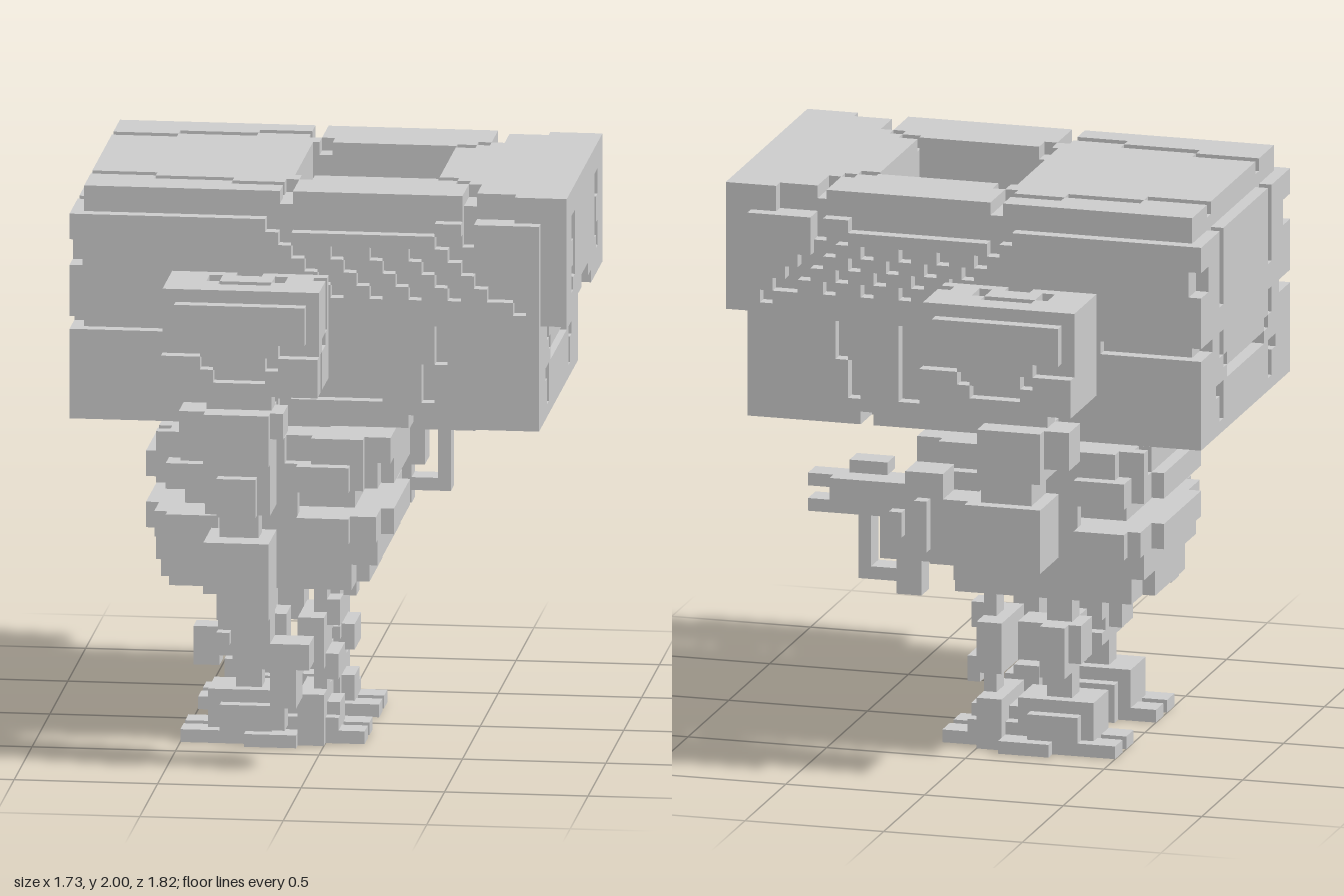
import * as THREE from 'three';

const U = 1 / 22; // size of one block

// Boolean of axis-aligned blocks: each op is [x0,x1,y0,y1,z0,z1] in block units.
// Only the exposed faces of the result are emitted.
function blocks(name, add, cut = []) {
  const all = [...add, ...cut];
  const axes = [0, 1, 2].map(a =>
    [...new Set(all.flatMap(b => [b[2 * a], b[2 * a + 1]]))].sort((p, q) => p - q));
  const n = axes.map(c => c.length - 1);
  const solid = new Uint8Array(n[0] * n[1] * n[2]);
  const id = c => (c[0] * n[1] + c[1]) * n[2] + c[2];
  const paint = (b, v) => {
    const r = [0, 1, 2].map(a => [axes[a].indexOf(b[2 * a]), axes[a].indexOf(b[2 * a + 1])]);
    for (let i = r[0][0]; i < r[0][1]; i++)
      for (let j = r[1][0]; j < r[1][1]; j++)
        for (let k = r[2][0]; k < r[2][1]; k++) solid[id([i, j, k])] = v;
  };
  add.forEach(b => paint(b, 1));
  cut.forEach(b => paint(b, 0));

  const pos = [], nor = [], idx = [];
  const filled = c => c.every((v, a) => v >= 0 && v < n[a]) && solid[id(c)];
  for (let i = 0; i < n[0]; i++) for (let j = 0; j < n[1]; j++) for (let k = 0; k < n[2]; k++) {
    const c = [i, j, k];
    if (!filled(c)) continue;
    for (let a = 0; a < 3; a++) for (const s of [-1, 1]) {
      const next = c.slice();
      next[a] += s;
      if (filled(next)) continue;
      const b = (a + 1) % 3, d = (a + 2) % 3, base = pos.length / 3;
      for (const [p, q] of [[0, 0], [1, 0], [1, 1], [0, 1]]) {
        const v = [], m = [0, 0, 0];
        v[a] = axes[a][c[a] + (s > 0 ? 1 : 0)] * U;
        v[b] = axes[b][c[b] + p] * U;
        v[d] = axes[d][c[d] + q] * U;
        m[a] = s;
        pos.push(...v);
        nor.push(...m);
      }
      const o = s > 0 ? [0, 1, 2, 0, 2, 3] : [0, 2, 1, 0, 3, 2];
      idx.push(...o.map(t => base + t));
    }
  }
  const g = new THREE.BufferGeometry();
  g.setAttribute('position', new THREE.Float32BufferAttribute(pos, 3));
  g.setAttribute('normal', new THREE.Float32BufferAttribute(nor, 3));
  g.setIndex(idx);
  const mesh = new THREE.Mesh(g, new THREE.MeshStandardMaterial({ color: 0xcccccc, flatShading: true }));
  mesh.name = name;
  return mesh;
}

// mirror blocks to the other z side, or keep both sides
const flip = list => list.map(b => [b[0], b[1], b[2], b[3], -b[5], -b[4]]);
const both = list => [...list, ...flip(list)];

function head() {
  const add = [[-19, 17, 26, 42, -12, 12], [-18, 19, 34, 44, -11, 11]];
  const cut = [[-2.5, 8.5, 32, 44, -5.5, 5.5]]; // cockpit well
  // seams in the roof
  const roof = [[-18, -13, 6, 7], [-13, -7, 7, 8], [-7, -2, 8, 9], [-3, -2, 7, 8], [-2, -1, 5.5, 7],
    [-3, -2, 9, 11], [8.5, 10, 5, 6], [10, 11, 6, 7], [11, 12, 7, 11]];
  roof.forEach(([x0, x1, z0, z1]) => cut.push(...both([[x0, x1, 43, 44, z0, z1]])));
  // stepped roof edge towards the front, and the rear seam running over the edge
  cut.push(...both([[12, 15, 42, 44, 10, 11], [11, 12, 40, 44, 10, 12], [-19, -18, 41, 42, 6, 7]]));
  // seams and recesses in the side plates
  const side = [[9, 10, 31, 34], [8, 9, 28, 31], [-19, -11, 33, 34], [-2, 5, 28, 34], [-3, -2, 26, 28],
    [-3, 9, 41, 42], [9, 11, 40, 41]];
  for (let i = 0; i < 6; i++) side.push([-4 + i, -3 + i, 41 - i, 42 - i]);
  for (let i = 0; i < 5; i++) side.push([11 + i, 12 + i, 39 - i, 40 - i]);
  // diagonal vent holes
  for (let d = 0; d < 4; d++)
    for (let i = 0; i < 4; i++) side.push([1 + 3 * d + i, 2 + 3 * d + i, 39 - i, 40 - i]);
  side.forEach(([x0, x1, y0, y1]) => cut.push(...both([[x0, x1, y0, y1, 11, 12]])));
  // eye slots and mouth on the face
  cut.push(...both([[18, 19, 40, 42, 6, 8], [18, 19, 37, 40, 6, 7], [18, 19, 36, 38, 7, 8]]));
  cut.push([18, 19, 35, 36, -2, 2], [18, 19, 34, 35, -4, 4]);
  // jaw seams, front and rear
  const jaw = [[32, 34, 6, 7], [31, 32, 5, 6], [30, 31, 4, 5], [29, 30, 6, 8], [27, 29, 6, 7]];
  for (const [x0, x1] of [[16, 17], [-19, -18]]) {
    jaw.forEach(([y0, y1, z0, z1]) => cut.push(...both([[x0, x1, y0, y1, z0, z1]])));
    cut.push([x0, x1, 30, 31, -4, 4]);
  }
  cut.push(...both([[-19, -18, 38, 40, 10, 12], [-19, -18, 33, 34, 9, 12], [-19, -18, 36, 41, 6, 7]]));
  // seams under the jaw
  cut.push(...both([[9, 14, 26, 27, 6, 7], [8, 9, 26, 27, 7, 9], [7, 8, 26, 27, 9, 12]]));
  return blocks('head', add, cut);
}

function torso() {
  return blocks('torso', [
    [-10, 0, 24, 26, -4, 4],                                  // neck
    [-13, 5, 20, 24, -7, 7], [-11, 3, 20, 24, -8, 8],         // chest
    [-11, 2, 18, 20, -5, 5],                                  // waist
    [-13, 4, 16, 18, -8, 8], [-14, 5, 16, 18, -5, 5],         // hip ring
    [-13, 4, 14, 16, -7, 7],
    [-12, 2, 12, 14, -7, 7], [-13, 3, 12, 14, -4, 4],         // pelvis
    [-14, -13, 20, 22, -5, 5],
    ...both([
      [-8, -2, 16, 22, 7, 8],                                 // side struts
      [-12, -8, 20, 22, 7, 9], [-2, 2, 20, 22, 7, 9],         // chest pads
      [-12, -8, 16, 18, 7, 9], [-2, 2, 16, 18, 7, 9],         // hip pads
    ]),
  ], both([[4, 5, 20, 22, 5, 7], [-3, -1, 22, 24, 7, 8], [-13, -12, 22, 24, 5, 6]]));
}

// leg on the +z side: two struts, knee pads and a broad foot
const LEG = [
  [-7, -5, 3, 12, 4, 6], [-1, 0, 3, 12, 4, 6],
  [-8, -3, 7, 10, 4, 7], [-7, -5, 8, 10, 2, 8], [-7, -5, 6, 7, 2, 8], [-7, -5, 6, 10, 3, 8],
  [-2, 0, 8, 10, 2, 8], [-2, 0, 6, 7, 2, 8], [-2, 0, 6, 10, 3, 8],
  [0, 1, 5, 7, 3, 7], [0, 1, 9, 11, 4, 6],
  [-9, -3, 1, 4, 3, 7], [-8, -4, 0, 3, 2, 8],
  [-9, 1, 0, 2, 3, 7], [-3, 1, 1, 3, 3, 6], [-2, 0, 0, 4, 2, 8],
  [-11, -7, 0, 1, 3, 5], [-11, -7, 0, 1, 6, 8],
  [-1, 3, 0, 1, 2, 4], [-1, 3, 0, 1, 5, 7], [-6, -2, 0, 1, 7, 9],
];

// shoulder on the +z side: pegs to the head, wide lower lip, narrower upper face
const SHOULDER = [
  [-9, -7, 32, 34, 12, 13], [-3, -1, 32, 34, 12, 13],
  [-11, 1, 30, 34, 13, 20], [-11, 1, 34, 38, 13, 19], [-10, 0, 34, 37, 19, 20],
];
const SHOULDER_CUT = [
  [-7, -3, 31, 32, 19, 20], [-8, -7, 32, 33, 19, 20], [-3, -2, 32, 33, 19, 20],
  [-11, -8, 33, 34, 19, 20], [-2, 1, 33, 34, 19, 20],
  [-7, -3, 37, 38, 16, 17], [-8, -7, 37, 38, 14, 16], [-3, -2, 37, 38, 14, 16],
  [-6, -4, 37, 38, 13, 14],
  [0, 1, 34, 38, 14, 15], [0, 1, 33, 34, 15, 17], [0, 1, 30, 33, 17, 18],
];

// straight arm hanging on the +z side, hand reaching forward
const HANGING_ARM = [
  [-8, -3, 28, 30, 14, 16], [-8, -3, 24, 28, 13, 18], [-10, -8, 25, 28, 14, 17], [-3, -2, 26, 28, 14, 17],
  [-8, -3, 20, 24, 13, 17], [-7, -4, 20, 23, 13, 18],
  [-7, -4, 18, 20, 14, 16],
  [-8, -3, 14, 18, 13, 18], [-7, -3, 12, 14, 13, 18],
  [-7, -3, 9, 12, 14, 17], [-9, -7, 8, 11, 14, 16], [-7, -6, 10, 11, 16, 18],
  [-4, 0, 8, 10, 14, 17], [-3, -1, 5, 8, 14, 17], [-2, -1, 5, 8, 13, 15],
  [-3, -2, 3, 5, 14, 16],
];

// bent arm, reaching towards +x with open fingers (flipped to -z below)
const BENT_ARM = [
  [-8, -3, 28, 30, 14, 16], [-8, -3, 24, 28, 13, 18], [-10, -8, 25, 28, 14, 17], [-7, -3, 22, 24, 13, 17],
  [-8, -2, 17, 22, 13, 18], [-2, 2, 17, 22, 14, 17], [1, 2, 18, 22, 13, 18],
  [0, 3, 18, 24, 14, 17], [2, 5, 17, 23, 14, 17],
  [3, 4, 19, 21, 17, 18], [5, 9, 21, 23, 14, 17], [5, 8, 23, 24, 13, 15],
  [5, 9, 20, 21, 13, 16], [9, 11, 22, 23, 14, 16], [9, 11, 20, 21, 14, 16],
  [6, 7, 15, 20, 14, 16], [2, 6, 15, 16, 14, 16], [2, 4, 14, 17, 14, 16],
];

export function createModel() {
  const group = new THREE.Group();
  group.name = 'blockRobot';
  group.add(
    head(), torso(),
    blocks('legNear', LEG), blocks('legFar', flip(LEG)),
    blocks('shoulderNear', SHOULDER, SHOULDER_CUT),
    blocks('shoulderFar', flip(SHOULDER), flip(SHOULDER_CUT)),
    blocks('hangingArm', HANGING_ARM), blocks('bentArm', flip(BENT_ARM)),
  );
  return group;
}
